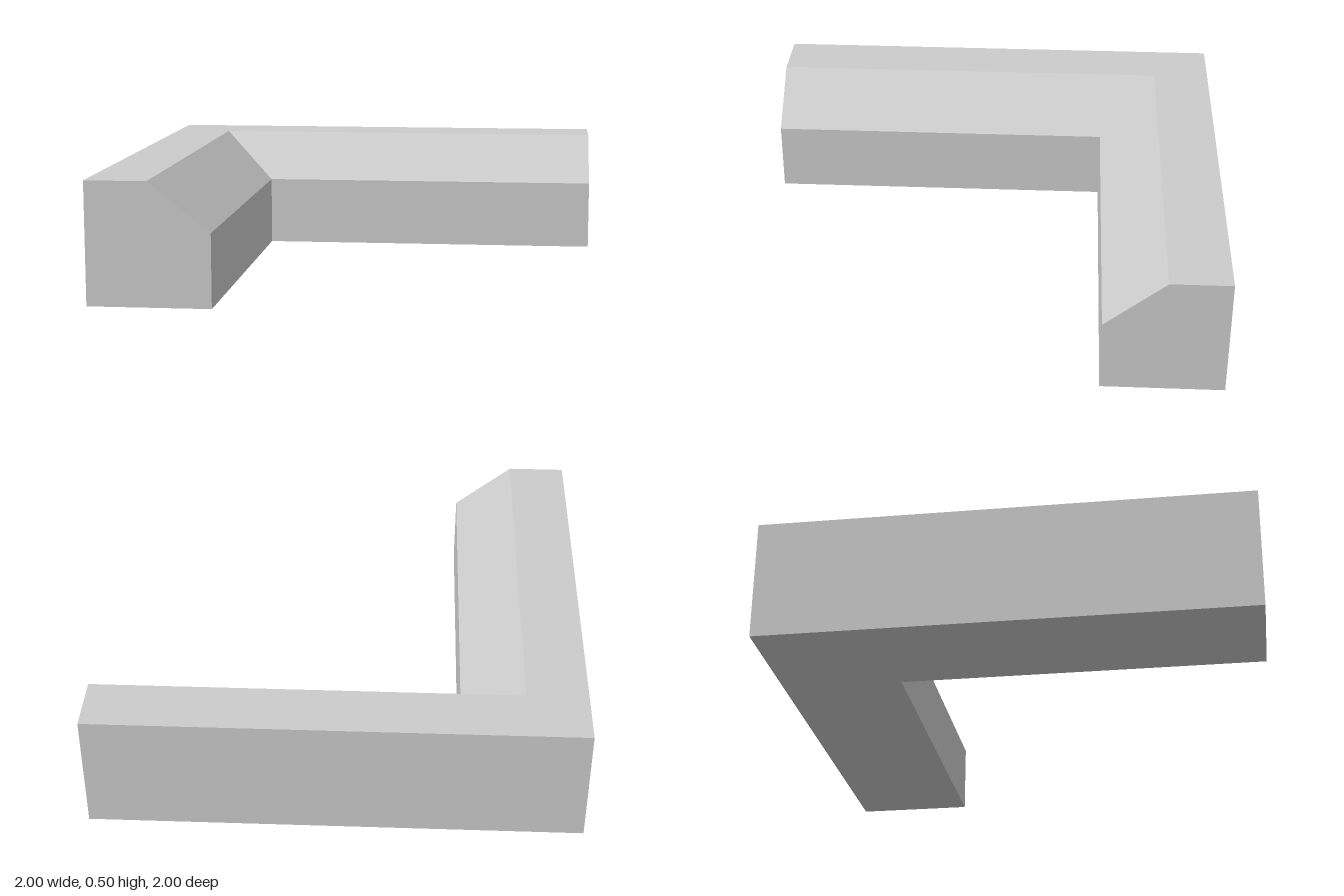
import * as THREE from 'three';

// Cross-section: distance inward from the outer wall, height
const PROFILE = [[0, 0], [0.5, 0], [0.5, 0.3], [0.25, 0.5], [0, 0.5]];

// Sections along the L: free end of the left leg, mitred corner, free end of the back leg
const STATIONS = [
  (d, y) => [-1 + d, y, 1],
  (d, y) => [-1 + d, y, -1 + d],
  (d, y) => [1, y, -1 + d],
];

function createCornerGeometry() {
  const rings = STATIONS.map((place) => PROFILE.map(([d, y]) => place(d, y)));
  const n = PROFILE.length;
  const positions = [];
  const triangle = (a, b, c) => positions.push(...a, ...b, ...c);

  // Side walls between neighbouring sections
  for (let s = 0; s < rings.length - 1; s++) {
    const a = rings[s];
    const b = rings[s + 1];
    for (let i = 0; i < n; i++) {
      const j = (i + 1) % n;
      triangle(a[i], b[i], a[j]);
      triangle(b[i], b[j], a[j]);
    }
  }

  // End caps
  const first = rings[0];
  const last = rings[rings.length - 1];
  for (let i = 1; i < n - 1; i++) {
    triangle(first[0], first[i], first[i + 1]);
    triangle(last[0], last[i + 1], last[i]);
  }

  const geometry = new THREE.BufferGeometry();
  geometry.setAttribute('position', new THREE.Float32BufferAttribute(positions, 3));
  geometry.computeVertexNormals();
  return geometry;
}

export function createModel() {
  const group = new THREE.Group();
  group.name = 'cornerTrim';
  const material = new THREE.MeshStandardMaterial({ color: 0xcccccc, flatShading: true });
  const corner = new THREE.Mesh(createCornerGeometry(), material);
  corner.name = 'chamferedCorner';
  group.add(corner);
  return group;
}
